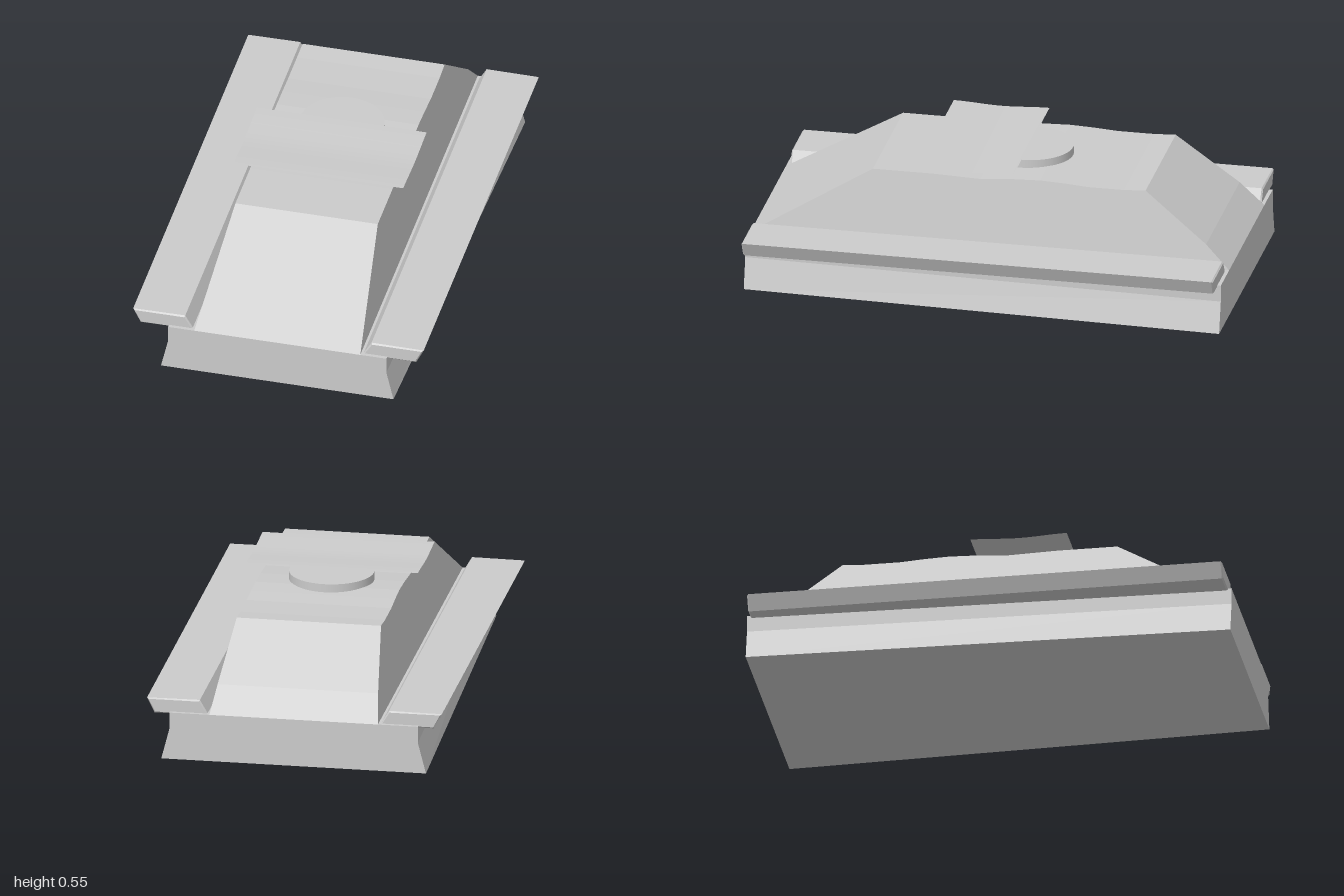
import * as THREE from 'three';

const grey = new THREE.MeshStandardMaterial({ color: 0xcccccc, side: THREE.DoubleSide });

const shapeOf = (points) => new THREE.Shape(points.map(([x, y]) => new THREE.Vector2(x, y)));

// Moves every vertex of a geometry by a rule and refreshes its normals
function reshape(geometry, rule) {
  const p = geometry.attributes.position;
  const v = new THREE.Vector3();
  for (let i = 0; i < p.count; i++) {
    rule(v.fromBufferAttribute(p, i));
    p.setXYZ(i, v.x, v.y, v.z);
  }
  geometry.computeVertexNormals();
  return geometry;
}

export function createModel() {
  const group = new THREE.Group();
  const add = (name, geometry) => {
    const mesh = new THREE.Mesh(geometry, grey);
    mesh.name = name;
    group.add(mesh);
    return mesh;
  };

  // Lower body: waisted profile, widening towards the back
  const base = new THREE.ExtrudeGeometry(
    shapeOf([[-0.49, 0], [0.49, 0], [0.46, 0.13], [0.46, 0.2], [-0.46, 0.2], [-0.46, 0.13]]),
    { depth: 2, bevelEnabled: false });
  base.translate(0, 0, -1);
  add('lowerBody', reshape(base, (v) => { v.x *= 1 + 0.061 * (1 - v.z); }));

  // Upper body: side outline with a gently waved roof, narrowing upwards
  const upper = new THREE.ExtrudeGeometry(
    shapeOf([[-1, 0.2], [1, 0.2], [0.5, 0.5], [0.25, 0.5], [0.05, 0.494], [-0.08, 0.504],
      [-0.2, 0.508], [-0.3, 0.504], [-0.4, 0.497], [-0.55, 0.497], [-0.64, 0.502], [-0.9, 0.3]]),
    { depth: 1, bevelEnabled: false });
  upper.rotateY(-Math.PI / 2).translate(0.5, 0, 0);
  add('upperBody', reshape(upper, (v) => { v.x *= 0.7 - (v.y - 0.2) / 3; }));

  // Side rails with slanted faces and a fine bevel
  const b = 0.006;
  for (const [name, s] of [['leftRail', 1], ['rightRail', -1]]) {
    const rail = new THREE.ExtrudeGeometry(
      shapeOf([[0.363, 0.196], [0.577, 0.196], [0.605, 0.249], [0.396, 0.249]].map(([x, y]) => [s * x, y])),
      { depth: 1.97 - 2 * b, bevelThickness: b, bevelSize: b, bevelSegments: 1 });
    add(name, rail.translate(0, 0, -0.985 + b));
  }

  // Round hatch on the roof
  add('hatch', new THREE.CylinderGeometry(0.175, 0.175, 0.05, 40)).position.set(0, 0.515, -0.1);

  // Thin, slightly rippled cover sheet above the hatch
  const sheet = new THREE.PlaneGeometry(0.715, 0.4, 1, 12).rotateX(-Math.PI / 2);
  const cover = add('coverSheet', reshape(sheet, (v) => { v.y = -0.004 * Math.cos(v.z * 5 * Math.PI); }));
  cover.position.set(0, 0.546, 0.1);

  return group;
}
